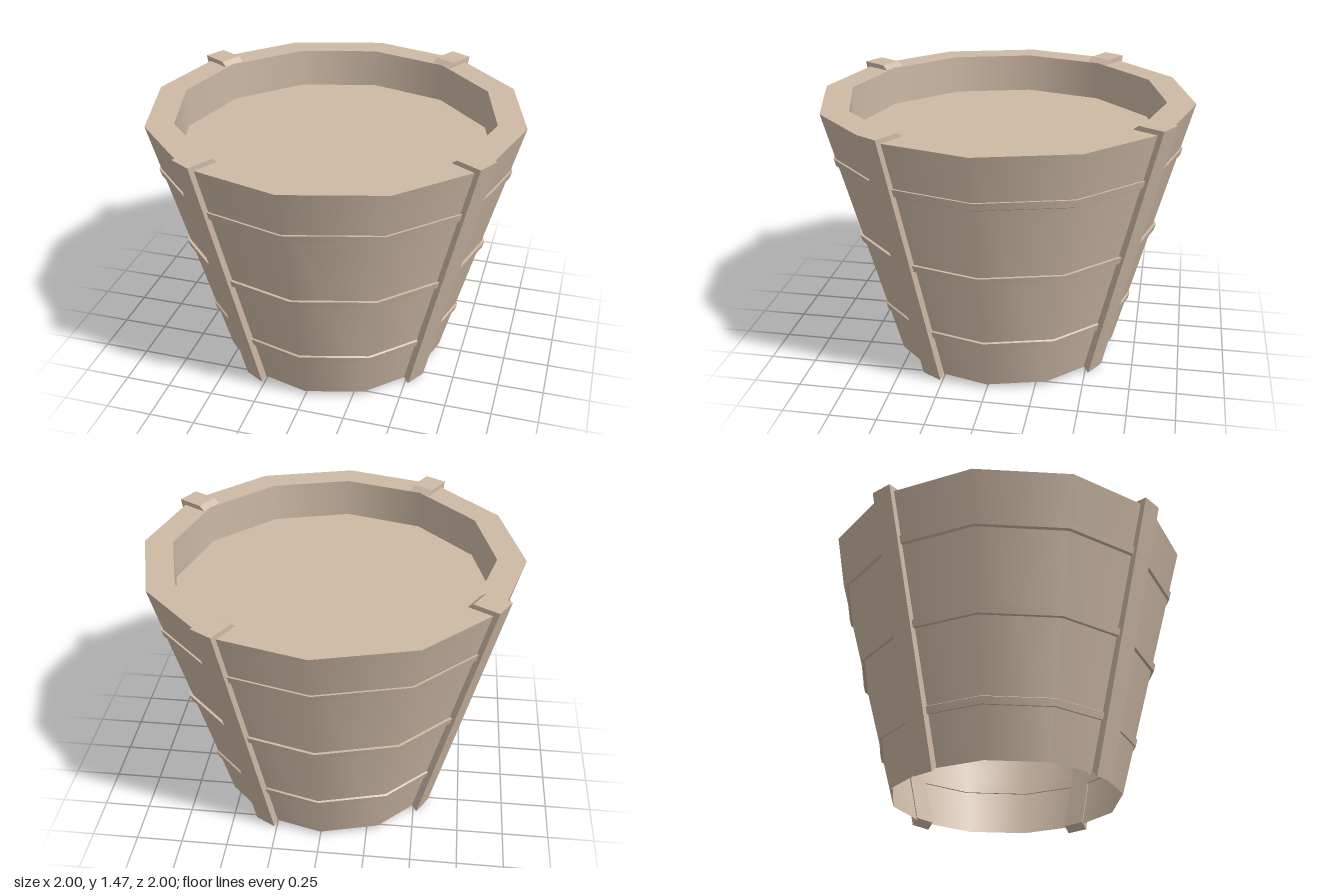
import * as THREE from 'three';
import { mergeGeometries } from 'three/addons/utils/BufferGeometryUtils.js';

const SIDES = 12;
const wood = new THREE.MeshStandardMaterial({ color: 0xcdb9a5, side: THREE.DoubleSide });

// Smooth around the axis, sharp between the profile's segments.
function facetedLathe(profile) {
  const pts = profile.map(([r, y]) => new THREE.Vector2(r, y));
  const rings = [];
  for (let i = 0; i < pts.length - 1; i++) {
    const ring = new THREE.LatheGeometry([pts[i], pts[i + 1]], SIDES);
    ring.normalizeNormals();
    rings.push(ring);
  }
  return mergeGeometries(rings);
}

function part(name, geometry) {
  const mesh = new THREE.Mesh(geometry, wood);
  mesh.name = name;
  return mesh;
}

// Outer radius of the tapered wall at height y
const wallRadius = (y) => 0.62 + (0.38 * (y - 0.025)) / 1.42;

export function createModel() {
  const tub = new THREE.Group();
  tub.name = 'woodenTub';

  // Tapered wall, flat rim and short inner wall; open underneath
  tub.add(part('wall', facetedLathe([[0.62, 0.025], [1, 1.445], [0.85, 1.445], [0.85, 1.23]])));

  // Surface of the contents, sunk below the rim
  tub.add(part('filling', facetedLathe([[0.85, 1.23], [0, 1.23]])));

  // Three hoops passing slightly through the wall: [outer bottom, outer top, inner bottom, inner top, bulge]
  const hoops = [
    [0.285, 0.322, 0.285, 0.335, 0.01],
    [0.718, 0.755, 0.716, 0.755, 0.016],
    [1.16, 1.2, 1.145, 1.2, 0.011],
  ];
  hoops.forEach(([outLow, outHigh, inLow, inHigh, bulge], i) => {
    const inset = 0.012;
    const start = [wallRadius(outLow) + bulge, outLow];
    tub.add(part('hoop' + (i + 1), facetedLathe([
      start,
      [wallRadius(outHigh) + bulge, outHigh],
      [wallRadius(inHigh) - inset, inHigh],
      [wallRadius(inLow) - inset, inLow],
      start,
    ])));
  });

  // Four upright straps, hooked over the rim, with sloped ends
  const profile = new THREE.Shape([
    [0.635, 0], [1.018, 1.47], [0.875, 1.47], [0.846, 1.446],
    [0.86, 1.435], [0.962, 1.435], [0.6, 0.034],
  ].map(([r, y]) => new THREE.Vector2(r, y)));
  const width = 0.125;
  const strapGeometry = new THREE.ExtrudeGeometry(profile, { depth: width, bevelEnabled: false });
  strapGeometry.translate(0, 0, -width / 2);
  for (let i = 0; i < 4; i++) {
    const strap = part('strap' + (i + 1), strapGeometry);
    strap.rotation.y = -(Math.PI / 6 + (i * Math.PI) / 2);
    tub.add(strap);
  }

  return tub;
}
